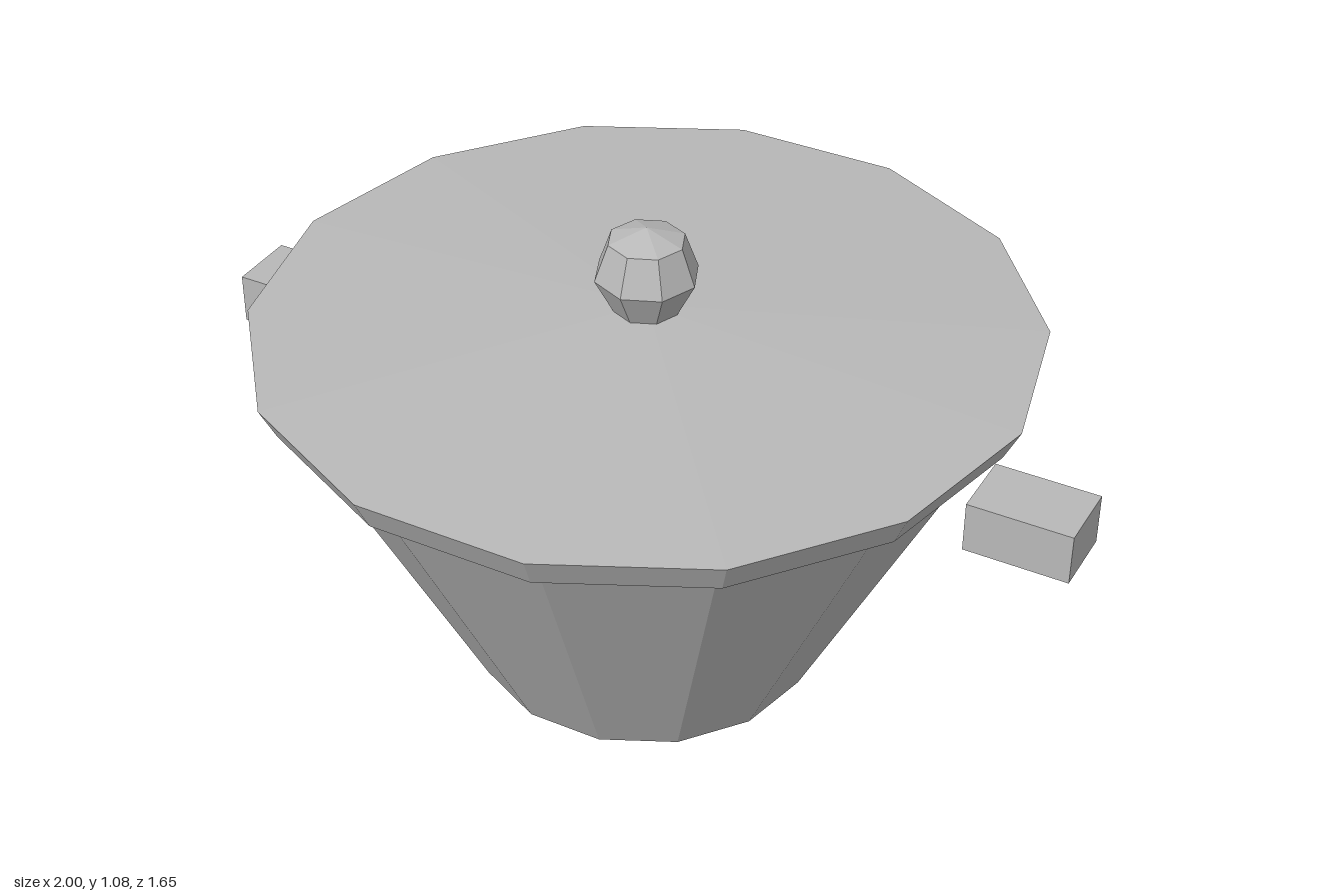
import * as THREE from 'three';

const gray = new THREE.MeshStandardMaterial({ color: 0xb8b8b8, flatShading: true });
gray.name = 'gray';

// Faceted turned part; profile runs from bottom to top as [radius, height]
function turned(name, profile, sides) {
  const points = profile.map(([r, y]) => new THREE.Vector2(r, y));
  const mesh = new THREE.Mesh(new THREE.LatheGeometry(points, sides, Math.PI / 2), gray);
  mesh.name = name;
  return mesh;
}

export function createModel() {
  const pot = new THREE.Group();
  pot.name = 'lidded pot';

  // Tapered body with a flat base
  pot.add(turned('body', [[0, 0], [0.385, 0], [0.77, 0.777]], 14));

  // Overhanging lid with a bevelled rim and shallow cone top
  pot.add(turned('lid', [[0, 0.775], [0.81, 0.775], [0.845, 0.847], [0.07, 0.885], [0, 0.887]], 14));

  // Eight-sided knob
  pot.add(turned('knob', [[0.07, 0.88], [0.113, 0.965], [0.083, 1.048], [0, 1.077]], 8));

  // Block handles on both sides
  for (const side of [1, -1]) {
    const handle = new THREE.Mesh(new THREE.BoxGeometry(0.23, 0.115, 0.155), gray);
    handle.name = side > 0 ? 'leftHandle' : 'rightHandle';
    handle.position.set(side * 0.885, 0.638, 0);
    pot.add(handle);
  }
  return pot;
}
